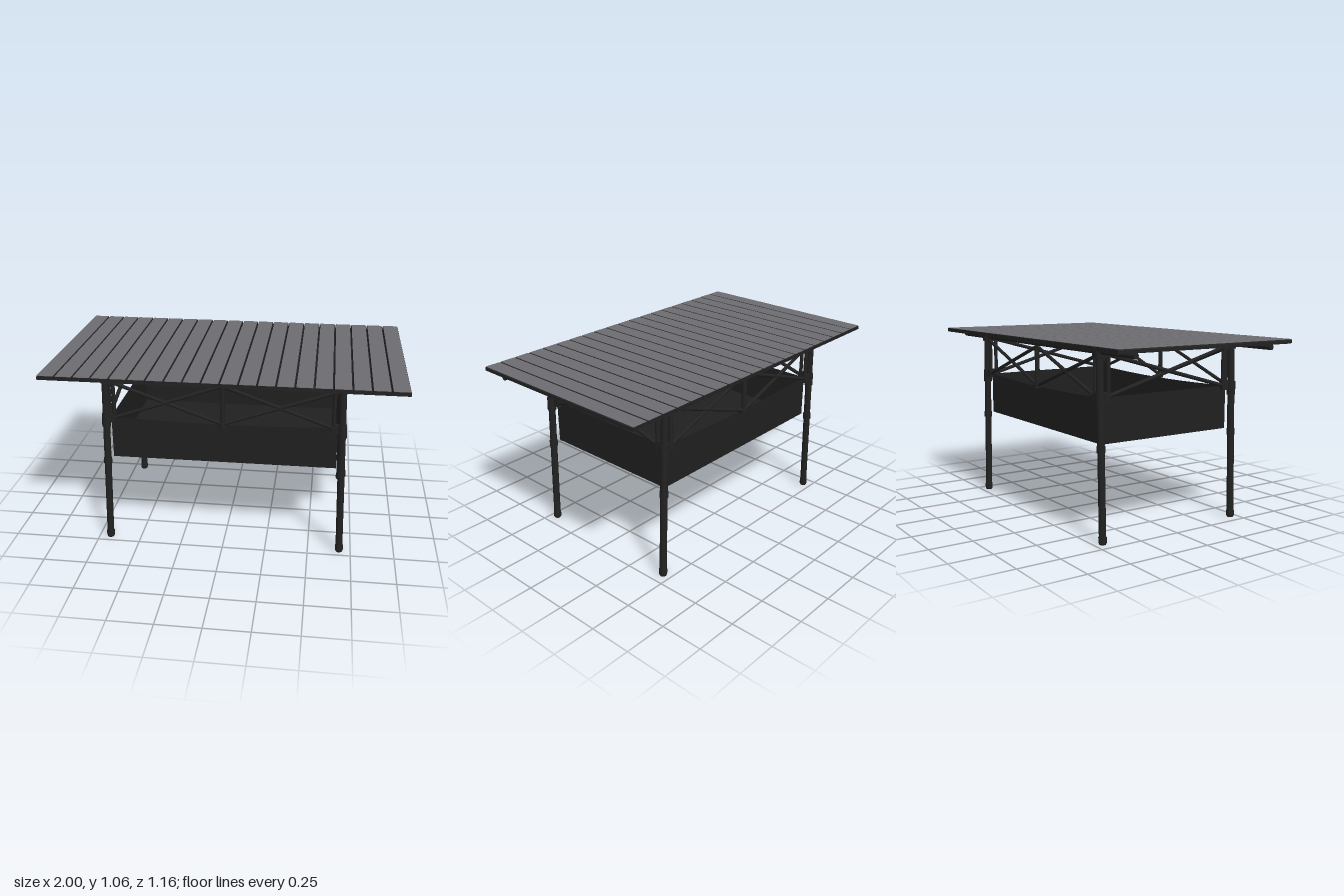
import * as THREE from 'three';

export function createModel() {
  const table = new THREE.Group();
  table.name = 'foldingTable';
  const black = new THREE.MeshStandardMaterial({ color: 0x222222 });
  black.name = 'black frame';
  const grey = new THREE.MeshStandardMaterial({ color: 0x6d6c70 });
  grey.name = 'grey slat face';
  const fabric = new THREE.MeshStandardMaterial({ color: 0x202020, side: THREE.DoubleSide });
  fabric.name = 'dark fabric';

  const V = (x, y, z) => new THREE.Vector3(x, y, z);
  function add(name, geometry, material, parent = table) {
    const mesh = new THREE.Mesh(geometry, material);
    mesh.name = name;
    parent.add(mesh);
    return mesh;
  }
  function box(name, w, h, d, p, material = black, parent = table) {
    const mesh = add(name, new THREE.BoxGeometry(w, h, d), material, parent);
    mesh.position.copy(p);
    return mesh;
  }
  // Round bar between two points
  function bar(name, a, b, r, parent = table, r2 = r, sides = 16) {
    const dir = b.clone().sub(a);
    const mesh = add(name, new THREE.CylinderGeometry(r2, r, dir.length(), sides), black, parent);
    mesh.position.copy(a).add(b).multiplyScalar(0.5);
    mesh.quaternion.setFromUnitVectors(V(0, 1, 0), dir.normalize());
    return mesh;
  }

  // Slatted top: chamfered black slats, each with a grey upper face
  const depth = 1.156;
  const profile = new THREE.Shape([
    [-0.048, 0], [0.048, 0], [0.048, 0.015], [0.044, 0.021], [-0.044, 0.021], [-0.048, 0.015],
  ].map(([x, y]) => new THREE.Vector2(x, y)));
  const slatGeometry = new THREE.ExtrudeGeometry(profile, { depth, bevelEnabled: false });
  slatGeometry.translate(0, 0, -depth / 2);
  const top = new THREE.Group();
  top.name = 'top';
  table.add(top);
  for (let i = 0; i < 20; i++) {
    const x = -0.951 + i * 0.1001;
    add('slat', slatGeometry, black, top).position.set(x, 1.043, 0);
    box('slatFace', 0.089, 0.002, depth - 0.004, V(x, 1.065, 0), grey, top);
  }
  box('topBacking', 1.99, 0.004, depth - 0.006, V(0, 1.043, 0), black, top);

  // Long rails, centre posts and crossed braces on front and back
  for (const s of [-1, 1]) {
    const z = s * 0.452;
    bar('rail', V(-0.97, 1.025, z), V(0.97, 1.025, z), 0.016);
    bar('centrePost', V(0, 0.765, z), V(0, 1.02, z), 0.014);
    bar('centrePostFoot', V(0, 0.762, z), V(0, 0.79, z), 0.019);
    for (const m of [-1, 1]) {
      bar('longBrace', V(m * 0.625, 1.0, z), V(0, 0.778, z), 0.01);
      bar('longBrace', V(m * 0.625, 0.782, z), V(0, 1.005, z), 0.01);
    }
    // Crossed braces on the two ends
    const x = s * 0.652;
    bar('endBrace', V(x, 1.005, -0.4), V(x, 0.785, 0.4), 0.011);
    bar('endBrace', V(x, 0.785, -0.4), V(x, 1.005, 0.4), 0.011);
  }

  // Four splayed legs with collars, feet, hinge brackets and inner posts
  for (const sx of [-1, 1]) for (const sz of [-1, 1]) {
    const leg = new THREE.Group();
    leg.name = 'leg';
    table.add(leg);
    const z = sz * 0.453;
    const at = y => V(sx * (0.684 - 0.03 * y), y, z);
    bar('legTube', at(0.03), at(1.02), 0.02, leg);
    bar('footTip', at(0.004), at(0.014), 0.018, leg, 0.023);
    bar('foot', at(0.014), at(0.044), 0.023, leg);
    bar('lowerCollar', at(0.498), at(0.532), 0.024, leg);
    bar('middleCollar', at(0.732), at(0.808), 0.025, leg);
    bar('upperCollar', at(0.995), at(1.025), 0.027, leg);
    bar('topNut', at(1.02), at(1.04), 0.017, leg, 0.01, 6);
    for (const y of [0.785, 1.005]) {
      const h = y > 0.9 ? 0.028 : 0.05;
      box('endBracket', 0.024, h, 0.06, V(sx * 0.652, y, sz * 0.418), black, leg);
      box('longBracket', 0.05, h, 0.024, V(sx * 0.63, y, z), black, leg);
    }
    bar('endPost', V(sx * 0.652, 0.775, sz * 0.396), V(sx * 0.652, 1.015, sz * 0.396), 0.011, leg);
    bar('longPost', V(sx * 0.612, 0.775, z), V(sx * 0.612, 1.015, z), 0.011, leg);
  }

  // Hanging fabric basket, open above, with long edges sagging to the middle
  const hx = 0.638, hz = 0.43, y0 = 0.532, y1 = 0.782;
  const side = new THREE.Shape();
  side.moveTo(-hx, y0);
  side.lineTo(hx, y0);
  side.lineTo(hx, y1);
  side.quadraticCurveTo(0, y1 - 0.034, -hx, y1);
  side.closePath();
  const basket = new THREE.Group();
  basket.name = 'basket';
  table.add(basket);
  for (const s of [-1, 1]) {
    add('basketLongSide', new THREE.ShapeGeometry(side, 8), fabric, basket).position.z = s * hz;
    const end = add('basketEnd', new THREE.PlaneGeometry(hz * 2, y1 - y0), fabric, basket);
    end.position.set(s * hx, (y0 + y1) / 2, 0);
    end.rotation.y = s * Math.PI / 2;
  }
  const floor = add('basketFloor', new THREE.PlaneGeometry(hx * 2, hz * 2), fabric, basket);
  floor.rotation.x = Math.PI / 2;
  floor.position.y = y0;

  return table;
}
